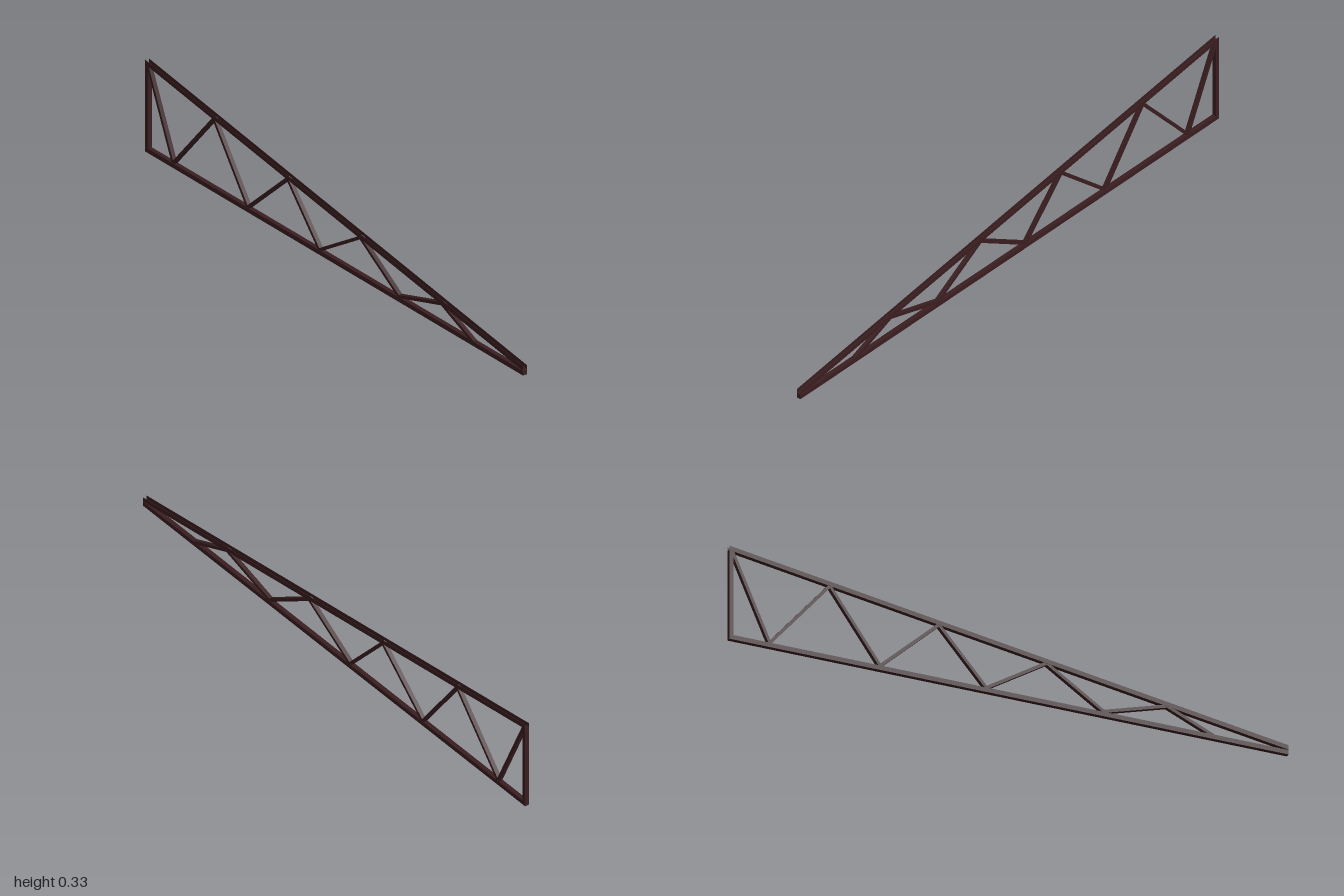
import * as THREE from 'three';

const W = 0.016; // truss width across x

export function createModel() {
  const truss = new THREE.Group();
  truss.name = 'taperedTruss';
  const steel = new THREE.MeshStandardMaterial({ color: 0x3a1e20 });
  steel.name = 'dark red-brown steel';

  // Extrudes a side outline of [z, y] points across x
  function plate(name, points, width, x = 0, parent = truss) {
    const shape = new THREE.Shape(points.map(([z, y]) => new THREE.Vector2(z, y)));
    const geometry = new THREE.ExtrudeGeometry(shape, { depth: width, bevelEnabled: false });
    geometry.translate(0, 0, -width / 2);
    geometry.rotateY(-Math.PI / 2);
    const mesh = new THREE.Mesh(geometry, steel);
    mesh.name = name;
    mesh.position.x = x;
    parent.add(mesh);
  }

  // Straight lower chord and the upright at the tall end
  plate('bottomChord', [[-1, 0], [1, 0], [1, 0.016], [-1, 0.016]], W);
  plate('endPost', [[-1, 0.01], [-0.985, 0.01], [-0.985, 0.315], [-1, 0.316]], W);

  // Sloping upper chord: a channel open at the top
  const topChord = new THREE.Group();
  topChord.name = 'topChord';
  truss.add(topChord);
  const slope = (lo, hi) => [[-1, 0.314 + lo], [1, 0.017 + lo], [1, 0.017 + hi], [-1, 0.314 + hi]];
  plate('topChordWeb', slope(0, 0.002), W, 0, topChord);
  for (const side of [-1, 1]) {
    plate('topChordFlange', slope(0, 0.016), 0.0008, side * (W / 2 - 0.0004), topChord);
  }

  // Zigzag bracing between the chords
  const nodes = [
    [0.735, 0.012], [0.565, 0.083], [0.34, 0.018], [0.135, 0.147], [-0.08, 0.016],
    [-0.25, 0.204], [-0.46, 0.016], [-0.64, 0.262], [-0.855, 0.016], [-0.988, 0.312],
  ];
  for (let i = 0; i < nodes.length - 1; i++) {
    const [z0, y0] = nodes[i];
    const [z1, y1] = nodes[i + 1];
    const dz = z1 - z0, dy = y1 - y0;
    const brace = new THREE.Mesh(new THREE.BoxGeometry(0.0145, 0.011, Math.hypot(dz, dy)), steel);
    brace.name = 'diagonalBrace';
    brace.position.set(0, (y0 + y1) / 2, (z0 + z1) / 2);
    brace.rotation.x = -Math.atan2(dy, dz);
    truss.add(brace);
  }

  return truss;
}
